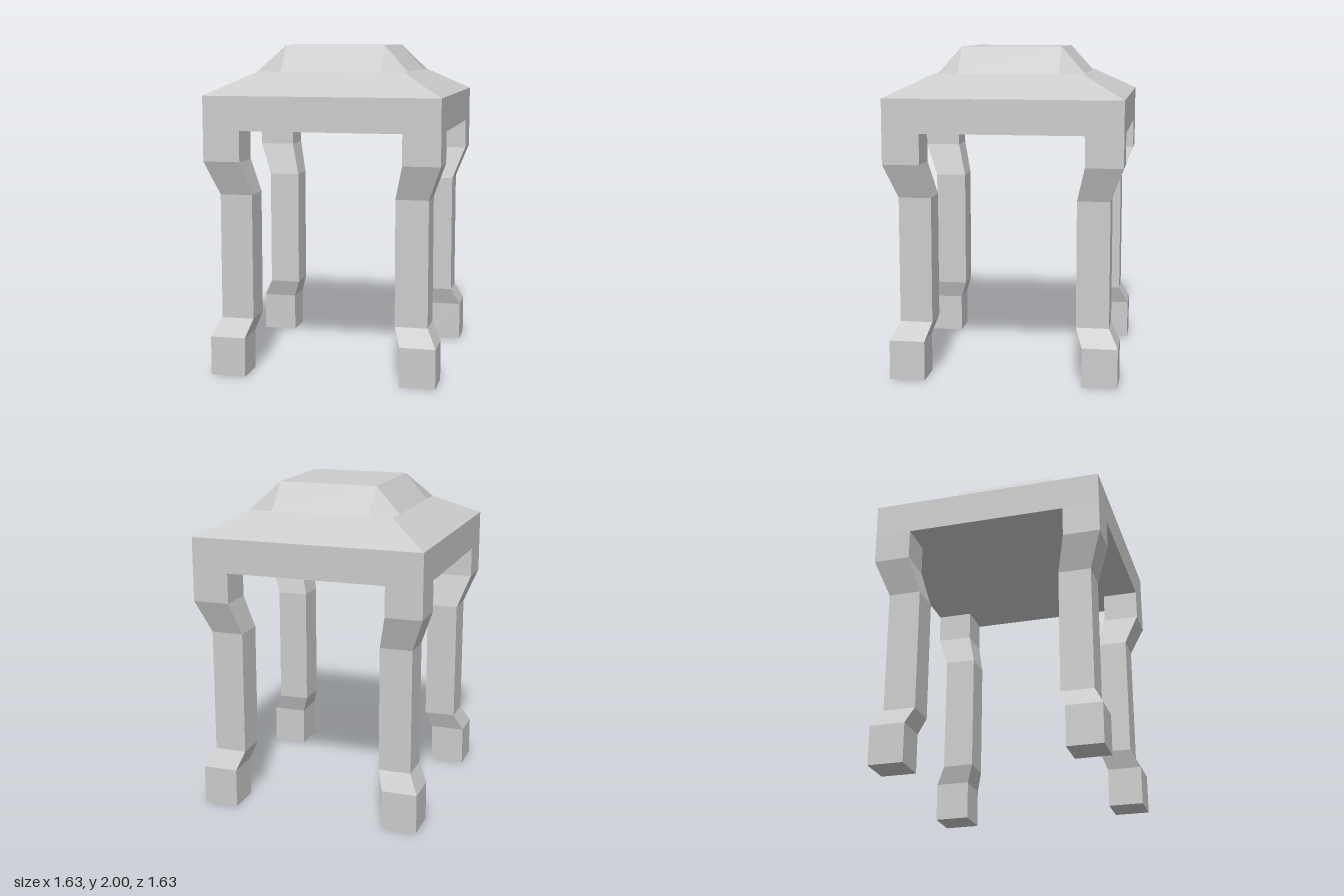
import * as THREE from 'three';

const material = new THREE.MeshStandardMaterial({ color: 0xcccccc });

// Faceted mesh from four-cornered faces, split along a-c, one normal per face
function facetMesh(name, quads) {
  const pos = [], nor = [];
  for (const [a, b, c, d] of quads) {
    const n = c.clone().sub(a).cross(d.clone().sub(b)).normalize();
    for (const p of [a, b, c, a, c, d]) {
      pos.push(p.x, p.y, p.z);
      nor.push(n.x, n.y, n.z);
    }
  }
  const geo = new THREE.BufferGeometry();
  geo.setAttribute('position', new THREE.Float32BufferAttribute(pos, 3));
  geo.setAttribute('normal', new THREE.Float32BufferAttribute(nor, 3));
  const mesh = new THREE.Mesh(geo, material);
  mesh.name = name;
  return mesh;
}

// Square cross-sections [y, min, max] (same range in x and z) joined bottom to top
function loftSquares(sections) {
  const rings = sections.map(([y, lo, hi]) =>
    [[lo, hi], [hi, hi], [hi, lo], [lo, lo]].map(([x, z]) => new THREE.Vector3(x, y, z)));
  const quads = [[...rings[0]].reverse()];
  for (let r = 0; r < rings.length - 1; r++) {
    for (let i = 0; i < 4; i++) {
      const j = (i + 1) % 4;
      quads.push([rings[r][i], rings[r][j], rings[r + 1][j], rings[r + 1][i]]);
    }
  }
  return quads;
}

// Raised cushion: sloped sides and a corner facet, repeated by quarter turns
function cushionQuads(inner, outer, low, high) {
  const up = new THREE.Vector3(0, 1, 0);
  const quads = [], top = [];
  for (let k = 0; k < 4; k++) {
    const p = (x, y, z) => new THREE.Vector3(x, y, z).applyAxisAngle(up, k * Math.PI / 2);
    const A = p(inner, low, outer), B = p(outer, low, inner);
    const C = p(outer, low, outer), T = p(inner, high, inner);
    quads.push([p(-inner, low, outer), A, T, p(-inner, high, inner)]);
    // Opposite corners share a split: flat-chamfered or sharply hipped
    quads.push(k % 2 ? [C, B, T, A] : [A, C, B, T]);
    top.push(T);
  }
  quads.push(top);
  return quads;
}

export function createModel() {
  const model = new THREE.Group();
  model.name = 'stool';

  // Seat slab with its sloping shoulder
  model.add(facetMesh('seat', loftSquares([
    [1.5, -0.711, 0.711], [1.705, -0.711, 0.711], [1.84, -0.45, 0.45],
  ])));

  // Cushion on the seat
  model.add(facetMesh('cushion', cushionQuads(0.306, 0.45, 1.84, 2)));

  // Four legs: foot, ankle, slim shank, knee and upper block
  const legSections = [
    [0, 0.475, 0.69], [0.24, 0.475, 0.69], [0.35, 0.436, 0.633],
    [1.11, 0.436, 0.633], [1.315, 0.487, 0.711], [1.5, 0.487, 0.711],
  ];
  ['frontLeftLeg', 'backLeftLeg', 'backRightLeg', 'frontRightLeg'].forEach((name, k) => {
    const leg = facetMesh(name, loftSquares(legSections));
    leg.rotation.y = k * Math.PI / 2;
    model.add(leg);
  });

  // The whole stool stands slightly turned
  model.rotation.y = 0.159;
  const root = new THREE.Group();
  root.add(model);
  return root;
}
